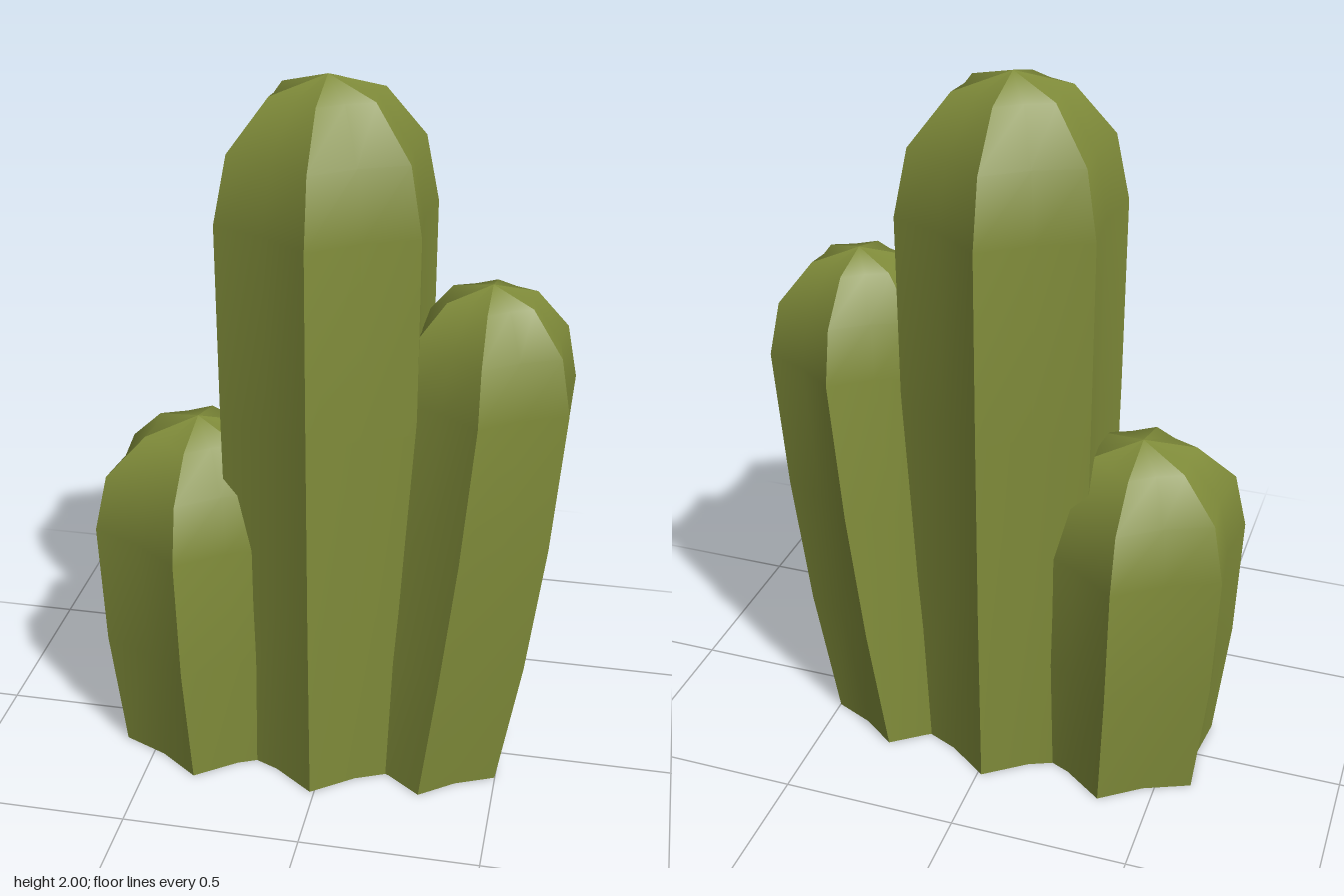
import * as THREE from 'three';

const RIBS = 6;
const VALLEY = 0.81; // groove radius relative to the rib radius

// One face between two ribs: smooth across the groove, sharp at the ribs.
// Rings are [y, centre x, rib radius] from the base up to the tip.
function ribFace(rings, start, material) {
  const step = Math.PI / RIBS;
  const positions = [];
  const index = [];
  rings.forEach(([y, cx, r], i) => {
    for (let j = 0; j < 3; j++) {
      const a = start + j * step;
      const radius = j === 1 ? r * VALLEY : r;
      positions.push(cx + Math.cos(a) * radius, y, Math.sin(a) * radius);
      if (j < 2 && i < rings.length - 1) {
        const p = i * 3 + j;
        index.push(p, p + 3, p + 1);
        if (rings[i + 1][2] > 0) index.push(p + 1, p + 3, p + 4);
      }
    }
  });
  const geometry = new THREE.BufferGeometry();
  geometry.setAttribute('position', new THREE.Float32BufferAttribute(positions, 3));
  geometry.setIndex(index);
  geometry.computeVertexNormals();
  const mesh = new THREE.Mesh(geometry, material);
  mesh.name = 'ribFace';
  return mesh;
}

// A ribbed stem, open at the base
function stem(name, rings, material) {
  const group = new THREE.Group();
  group.name = name;
  for (let k = 0; k < RIBS; k++) {
    group.add(ribFace(rings, Math.PI / 2 + (k * 2 * Math.PI) / RIBS, material));
  }
  return group;
}

export function createModel() {
  const green = new THREE.MeshStandardMaterial({ color: 0x808c3a, side: THREE.DoubleSide });
  green.name = 'cactusGreen';

  const model = new THREE.Group();
  model.name = 'cactus';

  model.add(
    stem('middleStem', [
      [0, -0.012, 0.284], [0.55, -0.012, 0.298], [1.1, -0.012, 0.304], [1.64, -0.012, 0.306],
      [1.82, -0.012, 0.268], [1.955, -0.012, 0.155], [2, -0.012, 0],
    ], green),
    stem('leftStem', [
      [0, 0.293, 0.238], [0.39, 0.342, 0.256], [0.78, 0.386, 0.259], [1.18, 0.42, 0.255],
      [1.33, 0.42, 0.223], [1.44, 0.42, 0.128], [1.475, 0.42, 0],
    ], green),
    stem('rightStem', [
      [0, -0.357, 0.276], [0.36, -0.373, 0.3], [0.72, -0.38, 0.306],
      [0.88, -0.38, 0.268], [0.985, -0.38, 0.152], [1.027, -0.38, 0],
    ], green),
  );
  return model;
}
